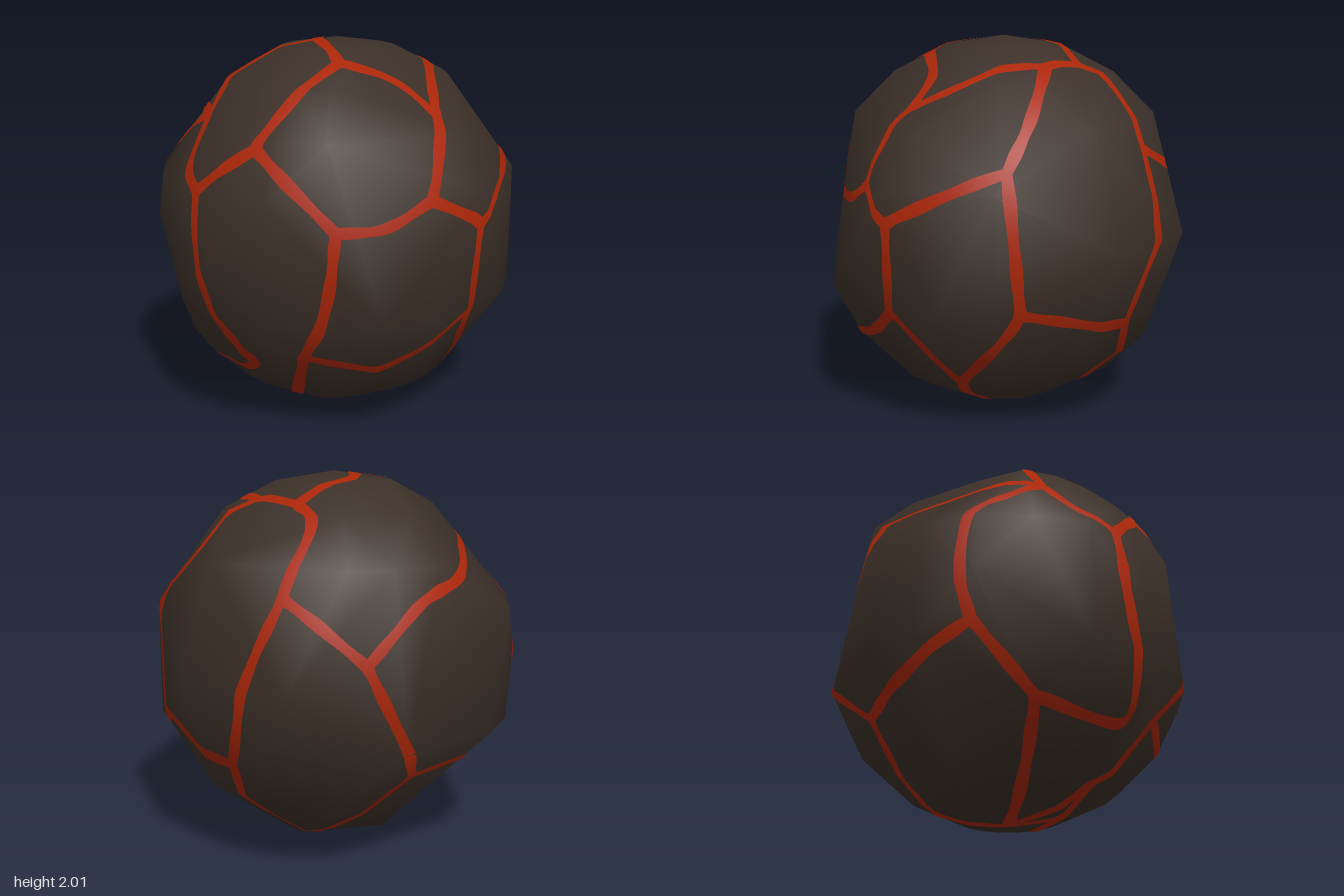
import * as THREE from 'three';
import { ConvexGeometry } from 'three/addons/geometries/ConvexGeometry.js';

const V = (x, y, z) => new THREE.Vector3(x, y, z);
const D = (x, y, z) => V(x, y, z).normalize();
const rad = THREE.MathUtils.degToRad;

// A plane seen from a heading and height in degrees, with its right, up and outward axes
function plane(heading, height) {
  const h = rad(heading), e = rad(height);
  const right = V(Math.cos(h), 0, -Math.sin(h));
  const out = V(Math.sin(h) * Math.cos(e), Math.sin(e), Math.cos(h) * Math.cos(e));
  return { right, out, up: out.clone().cross(right) };
}
// Direction from the rock's centre: two coordinates in a plane, lifted onto the sphere
function lift({ right, up, out }, u, v) {
  const w = Math.sqrt(Math.max(0, 1 - u * u - v * v));
  return V().addScaledVector(right, u).addScaledVector(up, v).addScaledVector(out, w).normalize();
}
const FRONT = plane(0, 0), SIDE = plane(90, 0), TOP = plane(0, 90);
const CORNER = plane(35, 25), BACK = plane(215, 25), BELOW = plane(140, -30);
const front = (x, y) => lift(FRONT, x, y);
const side = (z, y) => lift(SIDE, -z, y);
const top = (x, z) => lift(TOP, x, -z);
const back = (u, v) => lift(BACK, u, v);
const below = (u, v) => lift(BELOW, u, v);

// Flat chips: distance from the centre, then the angles of their normals in a plane
const CHIPS = [
  [CORNER, 0.95, -41, 0, 37, 200], [CORNER, 0.915, 135],
  [BACK, 0.95, -147, -116, -85, 40, 149, 181], [BACK, 0.915, -46], [BACK, 0.93, 114],
  [BELOW, 0.95, -140, 53, 146, 182], [BELOW, 0.915, -39], [BELOW, 0.935, -70], [BELOW, 0.87, 10],
].flatMap(([{ right, up }, distance, ...angles]) => angles.map(angle => ({
  limit: distance + 0.015,
  normal: V().addScaledVector(right, Math.cos(rad(angle))).addScaledVector(up, Math.sin(rad(angle))),
})));

// Single corners knocked off (j counts rings from the top, k segments from the front)
function isKnockedOff(j, k) {
  if (j === 5) return ![0, 9, 11, 17].includes(k);
  if ((j === 4 || j === 6) && (Math.abs(k - 10.5) < 2 || k === 14)) return true;
  if ([1, 2, 7].includes(j) && Math.abs(k - 5) < 2) return true;
  if ((j === 4 && (k === 2 || k === 3)) || (j === 7 && (k === 1 || k === 2))) return true;
  return (k === 15 && [3, 4, 7, 8].includes(j)) || (k === 5 && j === 6);
}

// Chipped rock: hull of a 20 x 10 sphere, with smooth normals
function makeRock() {
  const points = [V(0, 1, 0), V(0, -1, 0)];
  for (let j = 1; j < 10; j++) {
    for (let k = 0; k < 20; k++) {
      const corner = V().setFromSphericalCoords(1, j * Math.PI / 10, k * Math.PI / 10);
      if (isKnockedOff(j, k) || CHIPS.some(c => c.normal.dot(corner) > c.limit)) continue;
      points.push(corner);
    }
  }
  const geometry = new ConvexGeometry(points);
  const pos = geometry.attributes.position, nor = geometry.attributes.normal;
  const planes = [];
  for (let i = 0; i < pos.count; i += 3) {
    const [a, b, c] = [0, 1, 2].map(n => V().fromBufferAttribute(pos, i + n));
    planes.push(new THREE.Plane().setFromCoplanarPoints(a, b, c));
  }
  for (let i = 0; i < pos.count; i++) {
    const n = V().fromBufferAttribute(pos, i).normalize();
    nor.setXYZ(i, n.x, n.y, n.z);
  }
  return { geometry, planes };
}

// Glowing cracks: thin ribbons that follow the rock's faces
function makeCracks(planes, paths) {
  const position = [], normal = [], index = [];
  const COLS = 4, HALF = 0.031;
  const add = (dir) => {
    const d = dir.clone().normalize();
    let t = 2;
    for (const p of planes) {
      const facing = p.normal.dot(d);
      if (facing > 0.05) t = Math.min(t, -p.constant / facing);
    }
    position.push(...d.clone().multiplyScalar(t + 0.005).toArray());
    normal.push(...d.toArray());
    return position.length / 3 - 1;
  };
  for (const points of paths) {
    const curve = new THREE.CatmullRomCurve3(points, false, 'centripetal');
    const steps = Math.ceil(curve.getLength() / 0.025);
    let previous = null;
    for (let i = 0; i <= steps; i++) {
      const d = curve.getPoint(i / steps).normalize();
      const across = d.clone().cross(curve.getTangent(i / steps)).normalize();
      const half = HALF * (1 + 0.1 * Math.sin(i * 0.6));
      const row = [];
      for (let c = 0; c <= COLS; c++) row.push(add(d.clone().addScaledVector(across, half * (1 - 2 * c / COLS))));
      for (let c = 0; previous && c < COLS; c++) {
        index.push(previous[c], row[c + 1], row[c], previous[c], previous[c + 1], row[c + 1]);
      }
      previous = row;
    }
    // Rounded ends fill the junctions
    for (const end of [points[0], points[points.length - 1]]) {
      const e1 = V(1, 2, 3).cross(end).normalize(), e2 = end.clone().cross(e1).normalize();
      const mid = add(end), ring = [];
      for (let k = 0; k < 10; k++) {
        const angle = k * Math.PI / 5;
        ring.push(add(end.clone().addScaledVector(e1, HALF * Math.cos(angle)).addScaledVector(e2, HALF * Math.sin(angle))));
      }
      ring.forEach((r, k) => index.push(mid, r, ring[(k + 1) % 10]));
    }
  }
  const geometry = new THREE.BufferGeometry();
  geometry.setAttribute('position', new THREE.Float32BufferAttribute(position, 3));
  geometry.setAttribute('normal', new THREE.Float32BufferAttribute(normal, 3));
  geometry.setIndex(index);
  return geometry;
}

// Crack network: junctions, then the cracks between them with a few bends
function crackPaths() {
  const a = D(-0.34, 0.63, 0.62), b = front(-0.14, 0.31), d = front(-0.45, -0.6);
  const e = front(0.16, 0.55), i = D(0.55, 0.16, 0.67), j = D(0.36, -0.51, 0.69);
  const left = front(-0.79, -0.26), foot = front(0.12, -0.87);
  const g = top(0.26, 0.3), k = top(-0.08, 0.08), l = top(-0.06, -0.46);
  const m = D(0.68, 0.67, 0.05), t = top(0.2, -0.43);
  const h = D(0.89, 0.31, 0.27), n = side(0, 0.14), o = D(0.69, 0.42, -0.56);
  const p = side(0.02, -0.35), r = D(0.6, -0.72, -0.2), s = D(0.66, -0.27, -0.62);
  const v = D(-0.19, 0.46, -0.8), x = D(-0.59, 0.13, -0.65), y = back(0.4, -0.81);
  const w = D(0.07, -0.4, -0.82);
  const under = below(0.37, -0.66), heel = below(-0.26, -0.84), pole = V(0, -1, 0);
  return [
    // front
    [a, front(-0.29, 0.43), b], [b, e], [e, g], [e, i], [left, d], [j, foot], [foot, pole], [d, pole],
    [a, D(-0.55, 0.48, 0.56), D(-0.73, 0.35, 0.52), front(-0.84, -0.05), left],
    [d, front(0.08, -0.62), front(0.05, -0.48), front(-0.1, -0.1), b],
    [i, D(0.55, -0.18, 0.74), j],
    // +x side
    [h, n], [h, m], [n, o], [n, p], [p, r], [r, s], [s, o],
    [i, D(0.7, 0.17, 0.47), h],
    [p, side(0.3, -0.54), j],
    // top
    [g, k], [m, t], [t, l],
    [k, top(-0.29, 0.39), a],
    [k, top(-0.17, -0.11), l],
    [g, top(0.5, 0.1), m],
    [l, top(-0.2, -0.54), v],
    [t, top(0.5, -0.56), o],
    [a, D(-0.55, 0.63, 0.42), D(-0.8, 0.5, -0.13), back(0.42, 0.07), x],
    // back and underside
    [v, x], [v, w], [x, y], [y, left], [s, w], [y, under], [under, pole], [heel, pole], [heel, foot],
    [w, below(0.43, -0.37), under],
    [r, below(-0.16, -0.69), heel],
  ];
}

export function createModel() {
  const rockMaterial = new THREE.MeshStandardMaterial({ color: 0x3c3028 });
  rockMaterial.name = 'darkRock';
  const crackMaterial = new THREE.MeshStandardMaterial({ color: 0xaa2608 });
  crackMaterial.name = 'glowingCrack';

  const model = new THREE.Group();
  model.name = 'crackedRock';
  const { geometry, planes } = makeRock();
  const rock = new THREE.Mesh(geometry, rockMaterial);
  rock.name = 'rock';
  const cracks = new THREE.Mesh(makeCracks(planes, crackPaths()), crackMaterial);
  cracks.name = 'cracks';
  for (const part of [rock, cracks]) {
    part.position.set(0, 1, -0.02);
    model.add(part);
  }
  return model;
}
